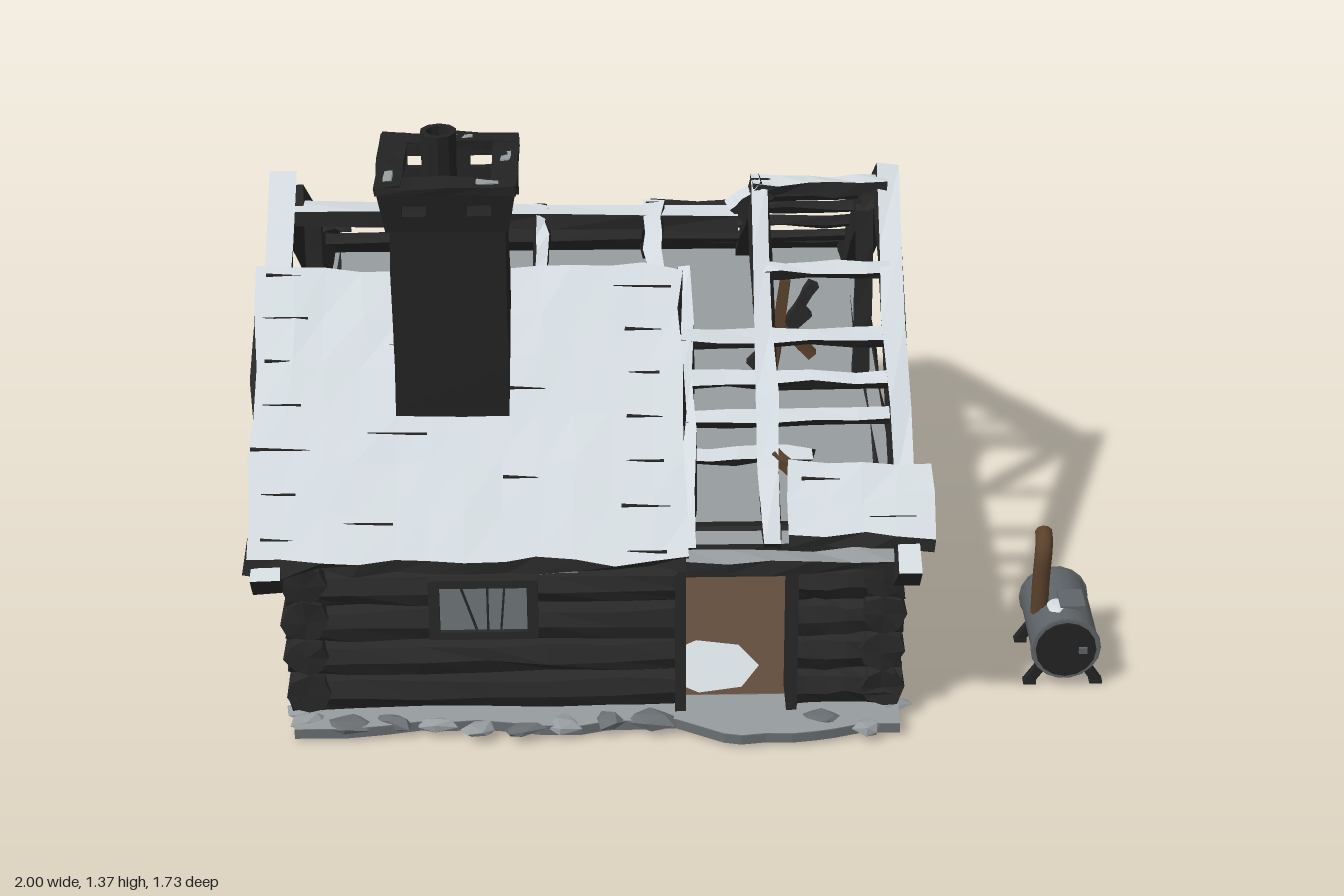
import * as THREE from 'three';

const mat = (name, color) => Object.assign(new THREE.MeshStandardMaterial({ color }), { name });

export function createModel() {
  const wood = mat('charred wood', 0x282828);
  const brick = mat('sooty brick', 0x232323);
  const snow = mat('snow', 0xd3dadf);
  const grey = mat('dusty grey', 0x969c9f);
  const stone = mat('dark ground', 0x6a6f73);
  const brown = mat('brown boards', 0x624d3b);
  const rust = mat('rust', 0x5a412c);
  const glass = mat('window glass', 0x70777b);
  const iron = mat('iron', 0x5f6468);
  const root = new THREE.Group();
  root.name = 'ruinedCabin';

  let seed = 7;
  const rnd = (a = 0, b = 1) => {
    seed = (seed * 16807) % 2147483647;
    return a + (b - a) * (seed / 2147483647);
  };
  // faceted copy of a geometry, with coincident corners shifted together
  const rough = (geo, dx = 0, dy = dx, dz = dx) => {
    const p = geo.attributes.position, moved = new Map();
    for (let i = 0; i < p.count; i++) {
      const key = [p.getX(i), p.getY(i), p.getZ(i)].map(v => Math.round(v * 1e4)).join();
      if (!moved.has(key)) moved.set(key, [rnd(-dx, dx), rnd(-dy, dy), rnd(-dz, dz)]);
      const m = moved.get(key);
      p.setXYZ(i, p.getX(i) + m[0], p.getY(i) + m[1], p.getZ(i) + m[2]);
    }
    const flat = geo.index ? geo.toNonIndexed() : geo;
    flat.computeVertexNormals();
    return flat;
  };
  const add = (name, geo, material, x = 0, y = 0, z = 0, parent = root) => {
    const m = new THREE.Mesh(geo, material);
    m.name = name;
    m.position.set(x, y, z);
    parent.add(m);
    return m;
  };
  const box = (name, w, h, d, material, x, y, z, parent) =>
    add(name, new THREE.BoxGeometry(w, h, d), material, x, y, z, parent);
  const topped = [wood, wood, snow, wood, wood, wood];
  const dusted = [wood, wood, grey, wood, wood, wood];
  const roofY = z => 1.075 - 0.71 * Math.abs(z);

  // beam whose top edge runs from a to b
  const beam = (name, a, b, w, h, material = topped, j = 0.006) => {
    const from = new THREE.Vector3(...a), to = new THREE.Vector3(...b);
    const geo = new THREE.BoxGeometry(w, h, from.distanceTo(to), 1, 1, 5).translate(0, -h / 2, 0);
    const m = add(name, rough(geo, j), material);
    m.position.copy(from).add(to).multiplyScalar(0.5);
    m.lookAt(to);
    return m;
  };
  const log = (name, x0, x1, y, z, alongZ) => {
    const geo = new THREE.CylinderGeometry(0.051, 0.051, x1 - x0, 8, 6).rotateZ(Math.PI / 2);
    geo.translate((x0 + x1) / 2, 0, 0);
    if (alongZ) geo.rotateY(-Math.PI / 2);
    return add(name, rough(geo, 0.006), wood, alongZ ? z : 0, y, alongZ ? 0 : z);
  };

  // ground slab with a ragged outline, wider before the door
  const outline = [];
  const edge = (x0, z0, x1, z1, n) => {
    for (let i = 0; i < n; i++) {
      const t = i / n;
      outline.push(new THREE.Vector2(x0 + (x1 - x0) * t + rnd(-0.015, 0.015), z0 + (z1 - z0) * t + rnd(-0.018, 0.018)));
    }
  };
  edge(-0.92, -0.82, 0.5, -0.82, 14);
  edge(0.5, -0.82, 0.5, 0.82, 14);
  edge(0.5, 0.82, 0.38, 0.8, 3);
  edge(0.34, 0.84, 0.02, 0.85, 6);
  edge(-0.03, 0.79, -0.92, 0.79, 12);
  edge(-0.92, 0.79, -0.92, -0.82, 14);
  const ground = new THREE.Shape(outline);
  add('groundSlab', new THREE.ExtrudeGeometry(ground, { depth: 0.024, bevelEnabled: false })
    .rotateX(Math.PI / 2).translate(0, 0.034, 0), stone);
  const around = ground.clone();
  around.holes.push(new THREE.Path([[-0.82, -0.63], [-0.82, 0.68], [0.4, 0.68], [0.4, -0.63]].map(c => new THREE.Vector2(...c))));
  // mirrored so that the outline matches the slab below
  add('groundSnow', new THREE.ShapeGeometry(around).rotateX(-Math.PI / 2), grey, 0, 0.036, 0).scale.z = -1;
  const lump = (x, z) => {
    const m = add('rubble', rough(new THREE.IcosahedronGeometry(1, 0), 0.2), rnd() < 0.35 ? stone : grey, x, 0.03, z);
    m.scale.set(rnd(0.03, 0.06), rnd(0.014, 0.022), rnd(0.02, 0.04));
    m.rotation.y = rnd(-0.5, 0.5);
  };
  for (const s of [-1, 1]) {
    for (let x = -0.88; x < 0.5; x += 0.1) if (s < 0 || x < -0.02 || x > 0.28) lump(x, s * rnd(0.76, 0.82));
    for (let z = -0.78; z < 0.82; z += 0.15) lump(s > 0 ? 0.48 : -0.89, z);
  }

  // log walls
  for (let i = 0; i < 5; i++) {
    const y = 0.077 + i * 0.094;
    log('backLog', -0.92, 0.505, y, -0.69);
    if (i === 4) log('lintelLog', -0.92, 0.505, y + 0.005, 0.69);
    else {
      log('frontLog', -0.92, -0.01, y, 0.69);
      log('frontLog', 0.24, 0.505, y, 0.69);
    }
    for (const x of [-0.877, 0.457]) log('sideLog', -0.745, 0.745, 0.09 + i * 0.099, x, true);
  }
  for (const z of [-0.76, 0.76]) beam('eavePlate', [-0.97, 0.51, z], [0.52, 0.51, z], 0.05, 0.05, dusted);

  // snow caught on the logs
  for (let i = 0; i < 10; i++) {
    const side = i % 2;
    const g = rough(new THREE.BoxGeometry(rnd(0.05, 0.14), 0.006, 0.008, 3, 1, 1), 0.002);
    const row = Math.floor(rnd(0, 4));
    const m = add('logSnow', g, grey);
    if (side) { m.position.set(0.49, 0.14 + 0.099 * row, rnd(-0.6, 0.6)); m.rotation.y = Math.PI / 2; }
    else m.position.set(rnd(-0.85, -0.2), 0.12 + 0.094 * row, (i % 4 ? 1 : -1) * 0.722);
  }

  // inner lining, floor boards with blown-in snow, attic floor
  box('backLining', 1.24, 0.47, 0.01, brown, -0.21, 0.27, -0.635);
  for (const x of [-0.824, 0.404]) box('sideLining', 0.01, 0.47, 1.27, brown, x, 0.27, 0);
  add('floorBoards', new THREE.PlaneGeometry(1.22, 1.31).rotateX(-Math.PI / 2), brown, -0.21, 0.038, 0.025);
  add('floorSnow', new THREE.CircleGeometry(0.12, 7).rotateX(-Math.PI / 2), snow, 0.06, 0.041, 0.56);
  box('atticFloor', 1.4, 0.012, 1.47, dusted, -0.21, 0.53, 0);

  // doorway jambs and window
  for (const x of [-0.012, 0.247]) box('doorJamb', 0.025, 0.37, 0.11, wood, x, 0.225, 0.7);
  box('doorHead', 0.27, 0.02, 0.11, wood, 0.117, 0.412, 0.7);
  box('windowPane', 0.2, 0.13, 0.008, glass, -0.465, 0.33, 0.747);
  for (const s of [-1, 1]) {
    box('windowStile', 0.025, 0.15, 0.025, wood, -0.465 + s * 0.113, 0.325, 0.75);
    box('windowRail', 0.25, 0.02, 0.025, wood, -0.465, 0.325 + s * 0.068, 0.75);
  }
  for (const [x, r] of [[-0.455, 0], [-0.5, 0.3], [-0.42, -0.08]])
    box('windowBar', 0.005, 0.125, 0.006, wood, x, 0.33, 0.753).rotation.z = r;

  // gable beams and king posts; the front beams pass over the ridge with a snowy end
  const snowyEnd = [wood, wood, snow, wood, wood, snow];
  for (const [xf, wf, xb, wb, xp] of [[-0.95, 0.06, -0.935, 0.08, -0.88], [0.502, 0.055, 0.482, 0.075, 0.452]]) {
    beam('frontGableBeam', [xf, 1.085, -0.035], [xf, 0.47, 0.862], wf, 0.075, snowyEnd);
    beam('backGableBeam', [xb, 1.045, -0.02], [xb, 0.445, -0.866], wb, 0.07);
    add('kingPost', rough(new THREE.BoxGeometry(0.04, 0.45, 0.042, 1, 5, 1), 0.003), wood, xp, 0.76, 0);
  }

  // rafters, resting on the sunken ridge where it has sagged: x, back z, front z, ridge height
  for (const [x, zb, zf, top] of [[-0.49, -0.64, -0.14, 0.95], [-0.33, -0.64, 0.24, 1.0], [-0.06, -0.8, 0.24, 1.01],
    [0.195, -0.8, 0.8, 1.065], [0.01, 0.2, 0.8, 0.925]]) {
    const wide = x === -0.06 || x === 0.195;
    const w = wide ? 0.045 : 0.03, cover = wide ? topped : dusted;
    if (zb < 0) beam('backRafter', [x, roofY(zb), zb], [x, top, Math.min(0, zf)], w, 0.04, cover);
    if (zf > 0) beam('frontRafter', [x, top, Math.max(0, zb)], [x, roofY(zf), zf], w, 0.04);
  }
  // ridge and cross battens, the battens tilted with the slope: x start, x end, z
  beam('sunkenRidge', [-0.96, 1.01, 0.01], [0.14, 0.99, 0.02], 0.055, 0.045);
  beam('ridge', [0.12, 1.0, 0.01], [0.2, 1.065, 0], 0.05, 0.05);
  beam('ridge', [0.18, 1.06, 0], [0.5, 1.06, 0], 0.045, 0.035);
  for (const [x0, x1, z] of [[-0.94, 0.5, -0.55], [-0.06, 0.5, -0.4], [-0.06, 0.5, -0.23], [0.18, 0.5, -0.11],
    [0.18, 0.5, 0.2], [0, 0.5, 0.35], [0, 0.5, 0.44], [0, 0.5, 0.52], [0, 0.3, 0.6], [-0.94, -0.82, -0.42], [-0.94, -0.84, -0.22]])
    beam('batten', [x0, roofY(z) - 0.01, z], [x1, roofY(z) - 0.01, z], 0.034, 0.024).rotateZ(Math.sign(z) * 0.617);
  // fallen timbers lying on the attic floor
  beam('fallenTimber', [-0.72, 0.55, -0.16], [-0.72, 0.55, -0.6], 0.014, 0.014, dusted, 0.002);
  beam('fallenTimber', [-0.85, 0.555, -0.15], [-0.48, 0.555, -0.13], 0.03, 0.018, dusted, 0.003);

  // snow-covered roof remains with thin dark shingle edges
  const sheet = (name, x0, x1, z0, z1, top, cracks) => {
    const w = x1 - x0, d = z1 - z0;
    const geo = rough(new THREE.BoxGeometry(w, 0.03, d, Math.ceil(w / 0.09), 1, Math.ceil(d / 0.12)), 0.01, 0.004, 0.012);
    geo.translate((x0 + x1) / 2, 0, (z0 + z1) / 2);
    const p = geo.attributes.position;
    for (let i = 0; i < p.count; i++) p.setY(i, p.getY(i) + roofY(p.getZ(i)) + 0.005);
    geo.computeVertexNormals();
    add(name, geo, [wood, wood, top, wood, wood, wood]);
    for (let i = 0; i < cracks; i++) {
      const z = z0 + d * (i + 0.5) / cracks, x = i % 3 === 0 ? x0 + 0.07 : i % 3 === 1 ? x1 - 0.09 : rnd(x0 + 0.15, x1 - 0.15);
      const g = new THREE.CylinderGeometry(0.001, 0.005, rnd(0.07, 0.16), 4).rotateZ(i % 2 ? 1.53 : -1.6).scale(1, 1, 0.3);
      add('shingleEdge', rough(g), wood, x, roofY(z) + 0.022, z);
    }
  };
  sheet('frontRoof', -0.995, 0, 0.22, 0.84, snow, 20);
  sheet('backRoof', -0.985, 0, -0.85, -0.65, snow, 3);
  sheet('frontRoofScrap', 0.24, 0.56, 0.64, 0.8, snow, 2);
  sheet('backRoofScrap', -0.05, 0.45, -0.81, -0.69, grey, 2);
  beam('eaveBoard', [0, 0.5, 0.83], [0.47, 0.5, 0.83], 0.05, 0.03, dusted);
  beam('eaveBoard', [0, 0.5, -0.81], [0.47, 0.5, -0.81], 0.03, 0.03);

  // broken post with splayed braces under the ridge, and a scrap on the front slope
  for (const [a, b, m] of [[[0.22, 0.54, 0], [0.25, 0.8, 0.004], rust], [[0.34, 0.6, 0.004], [0.2, 0.75, 0], rust],
    [[0.17, 0.57, -0.004], [0.31, 0.72, 0.004], wood], [[0.26, 0.68, 0], [0.32, 0.79, 0], wood],
    [[0.21, 0.645, 0.6], [0.27, 0.615, 0.65], rust]])
    beam('brokenBrace', a, b, 0.025, 0.025, m, 0.002);

  // chimney
  const chimney = new THREE.Group();
  chimney.name = 'chimney';
  chimney.position.set(-0.53, 0, 0.41);
  root.add(chimney);
  add('shaft', rough(new THREE.BoxGeometry(0.26, 1.15, 0.26, 1, 10, 1), 0.002), brick, 0, 0.615, 0, chimney);
  const points = pts => pts.map(c => new THREE.Vector2(...c));
  const panel = holes => {
    const s = new THREE.Shape(points([[-0.138, 0], [0.138, 0], [0.155, 0.105], [-0.155, 0.105]]));
    for (const [a, b] of holes) s.holes.push(new THREE.Path(points([[a, 0.042], [a, 0.07], [b, 0.07], [b, 0.042]])));
    return new THREE.ExtrudeGeometry(s, { depth: 0.025, bevelEnabled: false }).translate(0, 0, -0.025);
  };
  for (let i = 0; i < 4; i++) {
    const side = new THREE.Group();
    side.name = 'capSide';
    side.rotation.y = i * Math.PI / 2;
    chimney.add(side);
    add('capPanel', panel(i % 2 ? [[-0.09, -0.02]] : [[-0.1, -0.045], [0.045, 0.1]]), brick, 0, 1.182, 0.138, side).rotation.x = 0.16;
    add('capRim', rough(new THREE.BoxGeometry(0.31, 0.018, 0.06, 4, 1, 1), 0.004), brick, 0, 1.29, 0.13, side);
    add('rimSnow', rough(new THREE.BoxGeometry(0.05, 0.006, 0.02, 2, 1, 1), 0.003), grey, rnd(-0.1, 0.1), 1.299, 0.13, side);
  }
  const pot = points([[0.04, 1.19], [0.042, 1.37], [0.028, 1.37], [0.028, 1.2], [0, 1.2]]);
  add('chimneyPot', rough(new THREE.LatheGeometry(pot, 10)), brick, 0, 0, 0, chimney).position.x = -0.02;

  // barrel stove standing beside the cabin
  const stove = new THREE.Group();
  stove.name = 'stove';
  stove.position.set(0.905, 0, 0.49);
  root.add(stove);
  add('barrel', new THREE.CylinderGeometry(0.08, 0.08, 0.25, 18).rotateX(Math.PI / 2), iron, 0, 0.11, 0, stove);
  for (const z of [-0.12, 0.12])
    add('barrelHoop', new THREE.TorusGeometry(0.08, 0.004, 5, 18), iron, 0, 0.11, z, stove);
  add('stoveDoor', new THREE.CylinderGeometry(0.072, 0.072, 0.008, 16).rotateX(Math.PI / 2), brick, 0, 0.11, 0.126, stove);
  box('doorLatch', 0.02, 0.015, 0.01, iron, 0.04, 0.11, 0.131, stove);
  box('topPlate', 0.06, 0.012, 0.08, iron, 0.02, 0.188, 0.03, stove);
  for (const sx of [-1, 1]) for (const sz of [-1, 1]) {
    box('stoveLeg', 0.022, 0.07, 0.02, brick, sx * 0.062, 0.035, sz * 0.095, stove).rotation.z = sx * 0.6;
    box('stoveFoot', 0.03, 0.008, 0.025, brick, sx * 0.079, 0.005, sz * 0.095, stove);
  }
  rust.side = THREE.DoubleSide;
  const pipe = new THREE.CatmullRomCurve3([[-0.053, 0.15, 0.02], [-0.053, 0.24, 0.022], [-0.05, 0.315, 0.02], [-0.047, 0.335, 0], [-0.045, 0.34, -0.03]]
    .map(c => new THREE.Vector3(...c)));
  add('stovePipe', new THREE.TubeGeometry(pipe, 14, 0.021, 10), rust, 0, 0, 0, stove);
  const drift = add('stoveSnow', rough(new THREE.IcosahedronGeometry(1, 1), 0.1), snow, -0.01, 0.182, 0.05, stove);
  drift.scale.set(0.03, 0.01, 0.04);
  return root;
}
